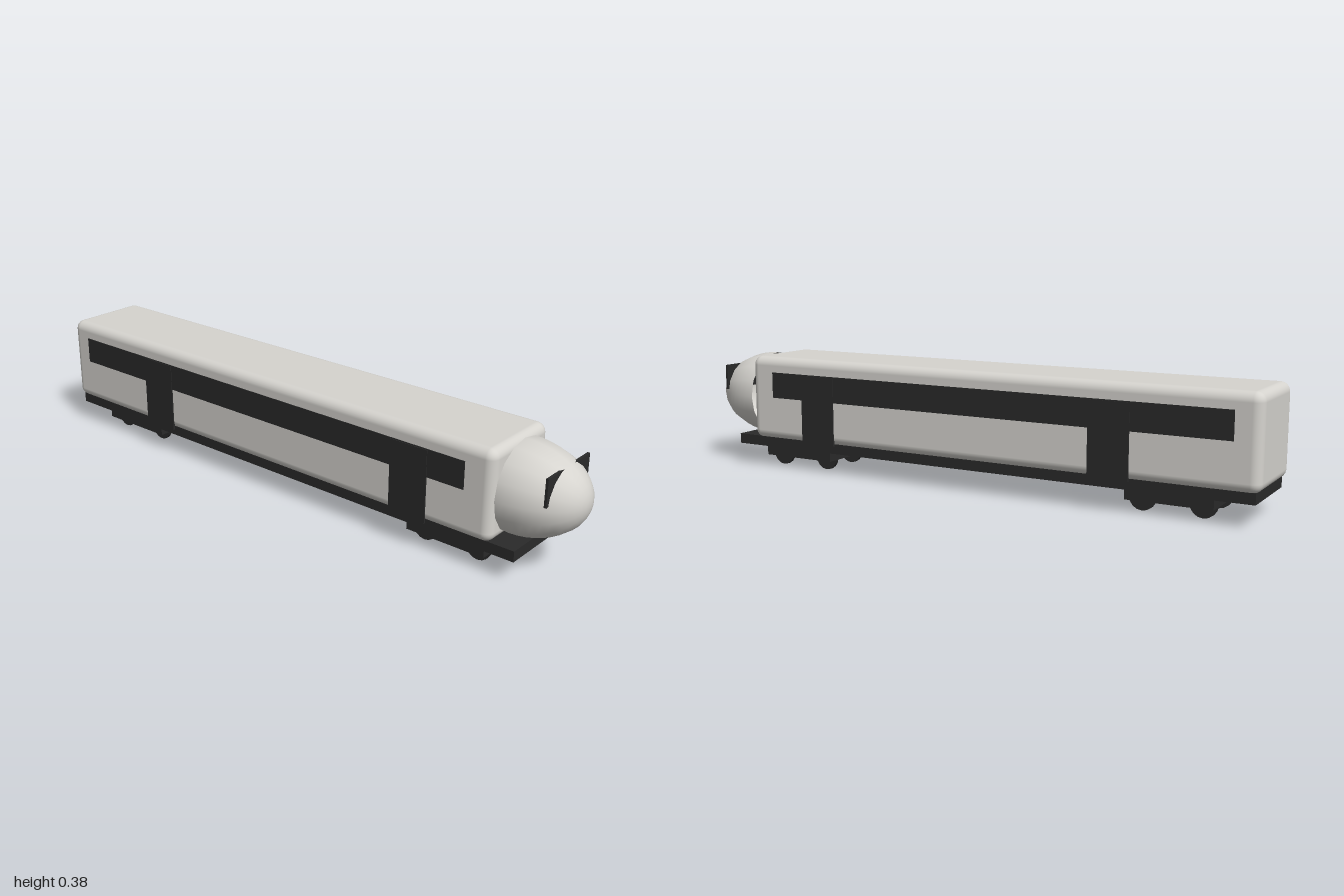
import * as THREE from 'three';
import { RoundedBoxGeometry } from 'three/addons/geometries/RoundedBoxGeometry.js';

export function createModel() {
  const train = new THREE.Group();
  train.name = 'railCar';

  const paint = new THREE.MeshStandardMaterial({ color: 0xd6d4cf });
  paint.name = 'paleGreyPaint';
  const noseShell = paint;
  noseShell.side = THREE.DoubleSide;
  const dark = new THREE.MeshStandardMaterial({ color: 0x2a2a2a });
  dark.name = 'charcoal';

  const add = (name, geometry, material, x, y, z) => {
    const mesh = new THREE.Mesh(geometry, material);
    mesh.name = name;
    mesh.position.set(x, y, z);
    train.add(mesh);
    return mesh;
  };
  // Box given by its minimum and maximum on each axis
  const box = (name, material, [x0, x1], [y0, y1], [z0, z1]) =>
    add(name, new THREE.BoxGeometry(x1 - x0, y1 - y0, z1 - z0), material,
      (x0 + x1) / 2, (y0 + y1) / 2, (z0 + z1) / 2);

  // Rounded carriage body
  add('body', new RoundedBoxGeometry(0.29, 0.285, 1.782, 4, 0.03), paint, 0, 0.2415, -0.109);

  // Stretched half-sphere nose, open at the back
  const nose = new THREE.SphereGeometry(0.143, 16, 12, 0, Math.PI * 2, 0, Math.PI / 2);
  nose.rotateX(Math.PI / 2);
  nose.scale(1, 1, 0.212 / 0.143);
  add('nose', nose, noseShell, 0, 0.24, 0.788);

  // Underframe
  box('underframe', dark, [-0.131, 0.131], [0.07, 0.104], [-0.985, 0.855]);

  // Bogies with two axles each
  for (const z of [0.613, -0.727]) {
    box('bogie', dark, [-0.112, 0.112], [0.036, 0.071], [z - 0.135, z + 0.135]);
    for (const dz of [-0.093, 0.093]) {
      for (const side of [-1, 1]) {
        const wheel = add('wheel', new THREE.CylinderGeometry(0.042, 0.042, 0.012, 16),
          dark, side * 0.07, 0.042, z + dz);
        wheel.rotation.z = Math.PI / 2;
      }
    }
  }

  for (const side of [-1, 1]) {
    const span = (a, b) => side > 0 ? [a, b] : [-b, -a];
    // Window band and doors
    box('windowBand', dark, span(0.143, 0.147), [0.245, 0.332], [-0.922, 0.69]);
    for (const z of [0.5, -0.552]) {
      box('door', dark, span(0.143, 0.149), [0.097, 0.329], [z - 0.065, z + 0.065]);
    }
    // Windscreen plate set into the nose
    box('windscreen', dark, span(0.02, 0.113), [0.254, 0.34], [0.922, 0.93]);
  }

  return train;
}
